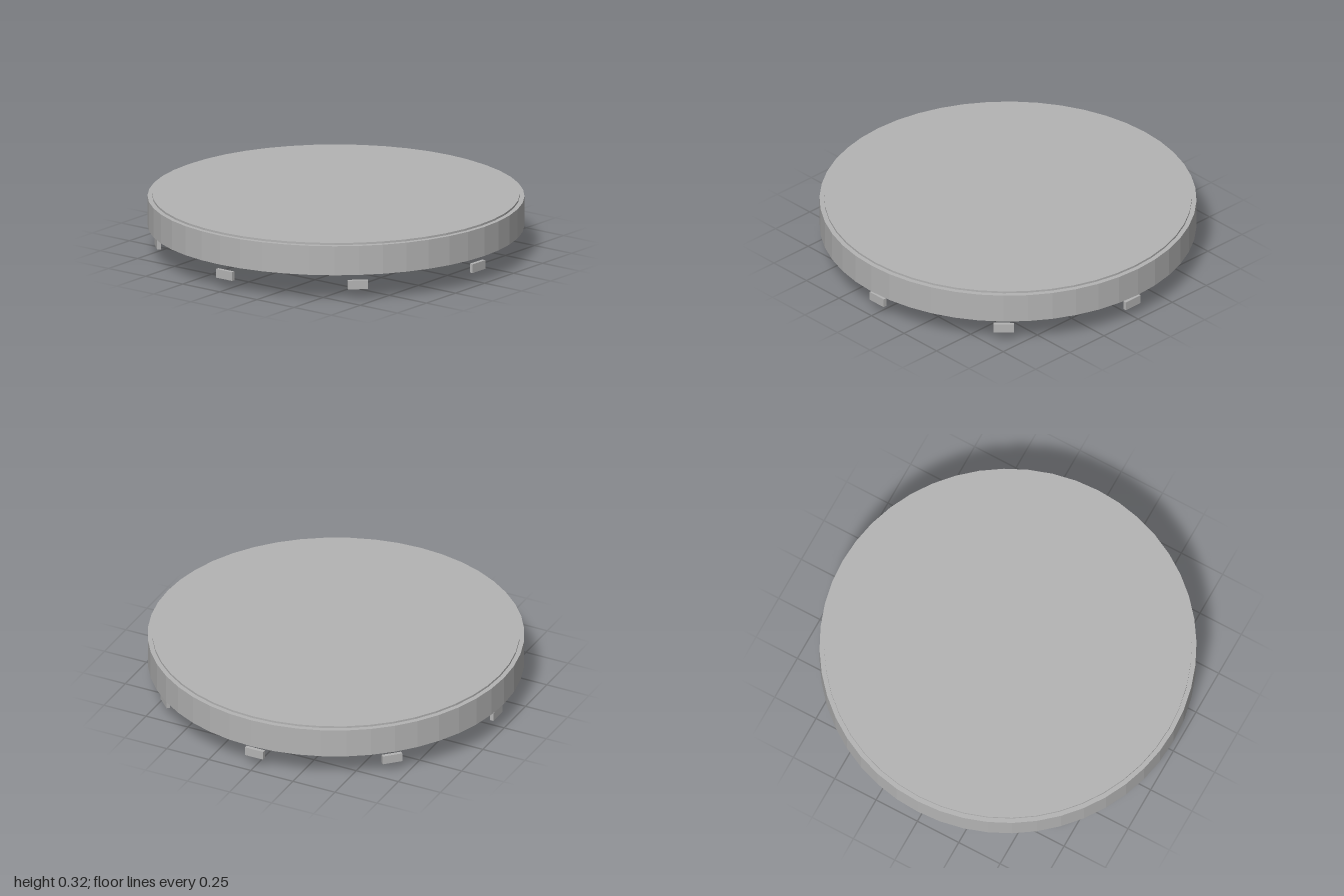
import * as THREE from 'three';

export function createModel() {
  const model = new THREE.Group();
  model.name = 'roundPlatform';
  const grey = new THREE.MeshStandardMaterial({ name: 'grey', color: 0xb3b3b3, flatShading: true });

  const add = (name, geometry, y, parent = model) => {
    const mesh = new THREE.Mesh(geometry, grey);
    mesh.name = name;
    mesh.position.y = y;
    parent.add(mesh);
    return mesh;
  };

  // Main disc with a thin, slightly smaller plate on top
  add('disc', new THREE.CylinderGeometry(1, 1, 0.16, 48), 0.23);
  add('topPlate', new THREE.CylinderGeometry(0.975, 0.975, 0.012, 48), 0.315);

  // Tapered base under the disc
  add('taperedBase', new THREE.CylinderGeometry(0.718, 0.45, 0.15, 32), 0.075);

  // Ring of eight small blocks hanging below the rim
  const blocks = new THREE.Group();
  blocks.name = 'rimBlocks';
  model.add(blocks);
  const blockGeometry = new THREE.BoxGeometry(0.108, 0.048, 0.02);
  for (let i = 0; i < 8; i++) {
    const angle = (i * Math.PI) / 4;
    const block = add('rimBlock', blockGeometry, 0.085, blocks);
    block.position.x = Math.sin(angle) * 0.953;
    block.position.z = Math.cos(angle) * 0.953;
    block.rotation.y = angle;
  }
  return model;
}
